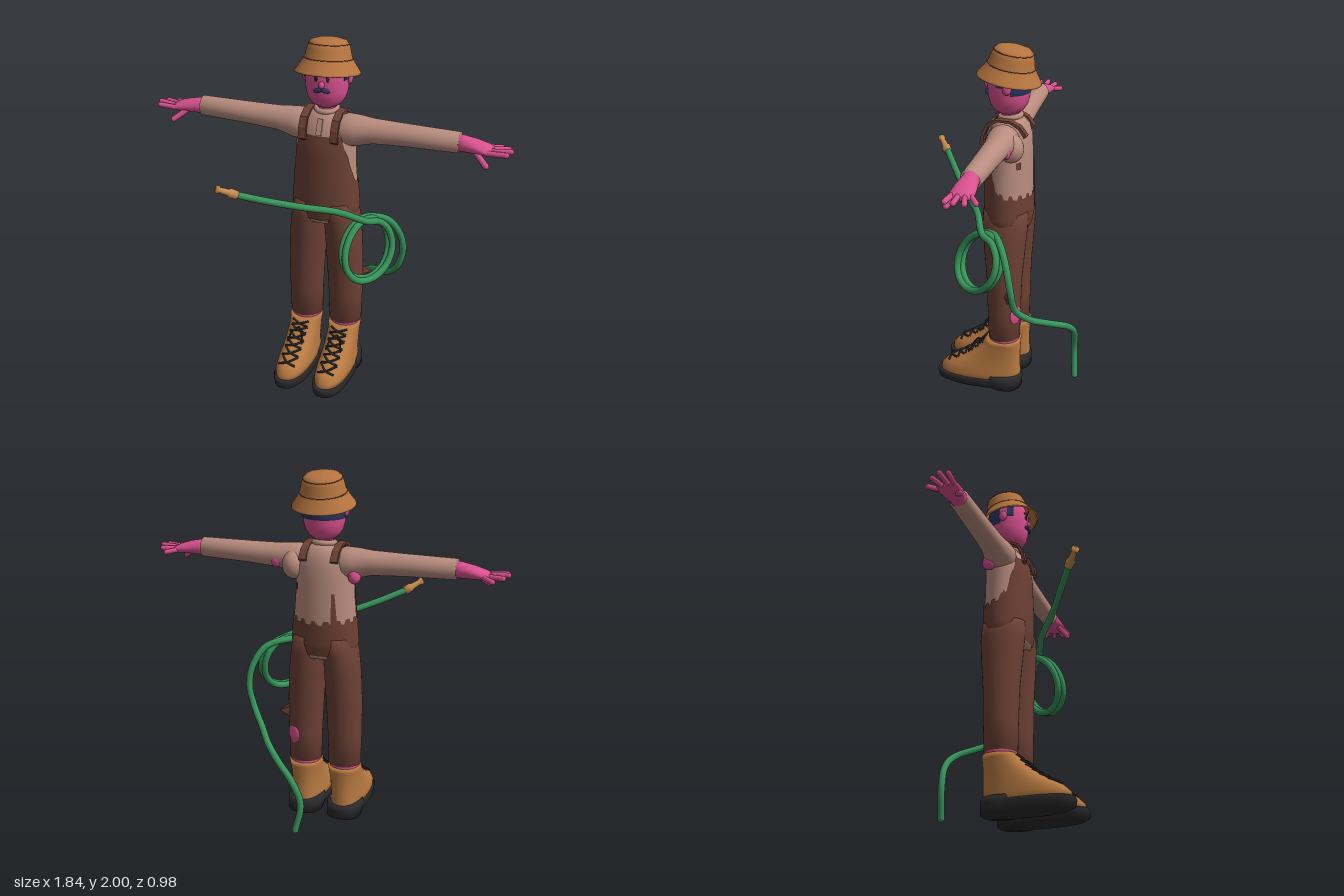
import * as THREE from 'three';

const mat = (name, color, side = THREE.FrontSide) => {
  const m = new THREE.MeshStandardMaterial({ color, side });
  m.name = name;
  return m;
};
const M = {
  skin: mat('skin pink', 0xd8508f),
  shirt: mat('shirt beige', 0xb98c7e),
  denim: mat('overall brown', 0x6c4034, THREE.DoubleSide),
  leather: mat('boot tan', 0xb87a42),
  felt: mat('hat tan', 0xb5743f, THREE.DoubleSide),
  rubber: mat('sole black', 0x2a2a2c),
  hair: mat('hair navy', 0x2a3763, THREE.DoubleSide),
  hose: mat('hose green', 0x37935a),
  brass: mat('nozzle brass', 0xc58b4e),
};

const V = (x, y, z) => new THREE.Vector3(x, y, z);
const add = (parent, name, geo, material, x = 0, y = 0, z = 0) => {
  const m = new THREE.Mesh(geo, material);
  m.name = name;
  m.position.set(x, y, z);
  parent.add(m);
  return m;
};
const ball = (parent, name, material, p, s) => {
  const m = add(parent, name, new THREE.SphereGeometry(1, 20, 14), material, ...p);
  m.scale.set(...s);
  return m;
};
const tube = (pts, r, n = 12, sides = 8) =>
  new THREE.TubeGeometry(new THREE.CatmullRomCurve3(pts), n, r, sides);

// Capsule joining two points
function limb(parent, name, a, b, r, material) {
  const d = b.clone().sub(a);
  const m = add(parent, name, new THREE.CapsuleGeometry(r, d.length(), 5, 10), material);
  m.position.copy(a).addScaledVector(d, 0.5);
  m.quaternion.setFromUnitVectors(V(0, 1, 0), d.normalize());
}

// Closed body through stacked ovals [y, cx, cz, rx, rz]; pow < 1 squares the ovals
function loft(sections, pow = 1, n = 36) {
  const pos = [], idx = [];
  const p = (v) => Math.sign(v) * Math.abs(v) ** pow;
  for (const [y, cx, cz, rx, rz] of sections)
    for (let j = 0; j < n; j++) {
      const t = (j / n) * Math.PI * 2;
      pos.push(cx + rx * p(Math.sin(t)), y, cz + rz * p(Math.cos(t)));
    }
  const last = sections.length - 1, c = sections.length * n;
  for (const s of [sections[0], sections[last]]) pos.push(s[1], s[0], s[2]);
  for (let j = 0; j < n; j++) {
    const k = (j + 1) % n;
    for (let i = 0; i < last; i++) {
      const a = i * n + j, b = i * n + k;
      idx.push(a, b, b + n, a, b + n, a + n);
    }
    idx.push(c, k, j, c + 1, last * n + j, last * n + k);
  }
  const g = new THREE.BufferGeometry();
  g.setAttribute('position', new THREE.Float32BufferAttribute(pos, 3));
  g.setIndex(idx);
  g.computeVertexNormals();
  return g;
}

// Linear lookup in a table whose rows start with the key
function lerpRow(rows, key) {
  let i = 0;
  while (i < rows.length - 2 && key > rows[i + 1][0]) i++;
  const a = rows[i], b = rows[i + 1];
  const t = THREE.MathUtils.clamp((key - a[0]) / (b[0] - a[0]), 0, 1);
  return a.map((v, k) => v + (b[k] - v) * t);
}

const TORSO = [[0.98, 0, 0, 0.17, 0.115], [1.06, 0, 0, 0.188, 0.13], [1.2, 0, 0, 0.178, 0.132], [1.32, 0, 0, 0.168, 0.13],
  [1.42, 0, 0, 0.166, 0.128], [1.5, 0, -0.005, 0.165, 0.12], [1.56, 0, -0.01, 0.14, 0.1], [1.59, 0, -0.012, 0.1, 0.08], [1.615, 0, -0.012, 0.06, 0.06]];

// Cloth layer just outside the torso, between angles f0..f1 and heights lo..hi(angle)
function cloth(f0, f1, lo, hi, cols, rows) {
  const g = new THREE.PlaneGeometry(1, 1, cols, rows), P = g.attributes.position;
  for (let i = 0; i < P.count; i++) {
    const f = f0 + (f1 - f0) * (P.getX(i) + 0.5);
    const y = lo + (hi(f) - lo) * (P.getY(i) + 0.5);
    const [, , cz, rx, rz] = lerpRow(TORSO, y);
    P.setXYZ(i, (rx + 0.006) * Math.sin(f), y, cz + (rz + 0.006) * Math.cos(f));
  }
  g.computeVertexNormals();
  return g;
}
const BIB = [[0, 1.5], [0.76, 1.5], [0.86, 1.44], [1.05, 1.38], [1.2, 1.28], [1.35, 1.25], [1.6, 1.21], [3.2, 1.19]];
const bibTop = (f) => {
  if (f > -2.72 && f < -2.52) return 1.36;
  const a = Math.abs(f);
  return lerpRow(BIB, a)[1] + (a > 1.1 ? 0.012 * Math.sign(Math.sin(f * 17)) : 0);
};

function buildTorso(body) {
  add(body, 'shirt', loft(TORSO, 1, 48), M.shirt);
  add(body, 'overallBib', cloth(-Math.PI, Math.PI, 1.0, bibTop, 120, 16), M.denim);
  add(body, 'tornPatch', cloth(2.15, 2.35, 1.36, () => 1.4, 4, 2), M.denim);
  const collar = add(body, 'collar', new THREE.TorusGeometry(0.055, 0.016, 10, 28), M.shirt, 0, 1.617, -0.008);
  collar.rotation.x = Math.PI / 2 + 0.12;
  add(body, 'placket', new THREE.BoxGeometry(0.03, 0.09, 0.008), M.shirt, 0, 1.545, 0.105).rotation.x = -0.35;
  // Straps over the shoulders, as [z, y]
  const path = [[0.137, 1.48], [0.127, 1.54], [0.1, 1.592], [0.045, 1.62], [-0.03, 1.618], [-0.085, 1.59], [-0.122, 1.54]];
  const inner = path.map(([z, y]) => [z * 0.88, y - 0.012]).reverse();
  const strap = new THREE.Shape([...path, ...inner].map(([z, y]) => new THREE.Vector2(-z, y)));
  for (const s of [-1, 1]) {
    const geo = new THREE.ExtrudeGeometry(strap, { depth: 0.042, bevelEnabled: false }).translate(0, 0, -0.021).rotateY(Math.PI / 2);
    geo.rotateY(Math.PI).scale(1, 1, -1);
    geo.rotateY(0);
    // Restore the corner order after the flip
    const P = geo.attributes.position;
    for (let i = 0; i < P.count; i++) P.setX(i, -P.getX(i));
    geo.computeVertexNormals();
    add(body, 'strap', geo, M.denim, s * 0.09);
    add(body, 'strapButton', new THREE.CylinderGeometry(0.014, 0.014, 0.008, 16).rotateX(Math.PI / 2), M.rubber, s * 0.085, 1.49, 0.128);
  }
}

function buildArm(body, s) {
  const along = (rows) => loft(rows.map(([x, y, rv, rz]) => [x, -s * y, 0, rv, rz]), 1, 28);
  const sleeve = add(body, 'sleeve', along([[0.06, 1.505, 0.07, 0.07], [0.12, 1.512, 0.09, 0.09], [0.18, 1.515, 0.085, 0.085], [0.27, 1.523, 0.068, 0.07], [0.45, 1.527, 0.061, 0.062], [0.735, 1.53, 0.056, 0.054]]), M.shirt);
  const hand = add(body, 'hand', along([[0.71, 1.53, 0.046, 0.044], [0.76, 1.528, 0.043, 0.047], [0.82, 1.522, 0.036, 0.057], [0.88, 1.513, 0.026, 0.062], [0.91, 1.508, 0.015, 0.05]]), M.skin);
  sleeve.rotation.z = hand.rotation.z = -s * Math.PI / 2;
  const fingers = [[0.985, 1.517, 0.05], [1.0, 1.52, 0.005], [0.98, 1.512, -0.042], [0.935, 1.5, -0.085]];
  fingers.forEach(([x, y, z], i) =>
    limb(body, 'finger', V(s * 0.88, 1.51, 0.044 - 0.03 * i), V(s * x, y, z), 0.0145, M.skin));
  limb(body, 'thumb', V(s * 0.82, 1.505, 0.03), V(s * 0.89, 1.452, 0.075), 0.016, M.skin);
}

function buildLeg(body, s) {
  const x = s * 0.12;
  add(body, 'trouserLeg', loft([[0.33, x, 0, 0.094, 0.09], [0.5, x, 0, 0.098, 0.094], [0.7, x * 0.96, 0, 0.104, 0.1], [0.88, x * 0.88, 0, 0.104, 0.116], [1.0, x * 0.8, 0, 0.1, 0.126], [1.1, x * 0.7, 0, 0.09, 0.125]]), M.denim);
  add(body, 'ankle', new THREE.CylinderGeometry(0.087, 0.087, 0.06, 28), M.skin, x, 0.32, 0);
  // Boot sections as [y, heel z, toe z, half width]
  const boot = new THREE.Group();
  boot.name = 'boot';
  boot.position.x = x;
  body.add(boot);
  const up = [[0.04, -0.095, 0.385, 0.095], [0.09, -0.095, 0.38, 0.096], [0.125, -0.094, 0.345, 0.093], [0.16, -0.093, 0.275, 0.09], [0.2, -0.092, 0.215, 0.088], [0.25, -0.093, 0.15, 0.088], [0.29, -0.096, 0.115, 0.091], [0.315, -0.097, 0.1, 0.093]];
  const ring = ([y, h, t, w]) => [y, 0, (h + t) / 2, w, (t - h) / 2];
  add(boot, 'bootUpper', loft(up.map(ring), 0.85), M.leather);
  add(boot, 'sole', loft([[0, -0.09, 0.37, 0.085], [0.015, -0.1, 0.4, 0.1], [0.05, -0.102, 0.405, 0.104], [0.062, -0.1, 0.4, 0.1]].map(ring), 0.85), M.rubber);
  add(boot, 'heel', loft([[0, -0.102, 0.1, 0.1], [0.05, -0.104, 0.14, 0.103], [0.085, -0.1, 0.12, 0.1]].map(ring), 0.85), M.rubber);
  // Crossed laces following the instep
  const on = (px, y) => {
    const [, , cz, w, rz] = ring(lerpRow(up, y));
    return V(px, y + 0.006, cz + rz * (1 - Math.abs(px / w) ** 2.35) ** 0.425 + 0.005);
  };
  for (let i = 0; i < 6; i++) {
    const y = 0.125 + i * 0.029;
    for (const k of [-1, 1]) {
      add(boot, 'lace', tube([on(-k * 0.05, y), on(0, y + 0.014), on(k * 0.05, y + 0.028)], 0.006, 8, 6), M.rubber);
    }
  }
  for (const k of [-1, 1])
    add(boot, 'laceBow', tube([on(0, 0.27), on(k * 0.03, 0.25).add(V(0, 0, 0.02)), on(k * 0.045, 0.2)], 0.005, 8, 6), M.rubber);
}

function buildHead(body) {
  const head = new THREE.Group();
  head.name = 'head';
  head.position.x = 0.005;
  head.rotation.y = 0.1;
  body.add(head);
  const oval = (rows) => loft(rows.map(([y, r]) => [y, 0, 0, r, r * 0.98]));
  add(head, 'neck', new THREE.CylinderGeometry(0.05, 0.054, 0.1, 24), M.skin, 0, 1.63, -0.008);
  add(head, 'skull', oval([[1.632, 0.03], [1.642, 0.06], [1.66, 0.084], [1.69, 0.103], [1.73, 0.114], [1.79, 0.118], [1.85, 0.117], [1.9, 0.1], [1.93, 0.06]]), M.skin);
  const profile = [[0.116, 1.755], [0.122, 1.765], [0.125, 1.8], [0.123, 1.85], [0.112, 1.89]].map((p) => new THREE.Vector2(...p));
  add(head, 'hair', new THREE.LatheGeometry(profile, 32, 1.75, 2 * Math.PI - 3.5), M.hair);
  const onFace = (name, geo, material, f, y, tilt = 0) => {
    const m = add(head, name, geo, material, 0.117 * Math.sin(f), y, 0.115 * Math.cos(f));
    m.rotation.set(0, f, tilt);
    return m;
  };
  for (const s of [-1, 1]) {
    ball(head, 'ear', M.skin, [s * 0.122, 1.795, -0.005], [0.016, 0.032, 0.024]);
    onFace('sideburn', new THREE.BoxGeometry(0.04, 0.075, 0.008), M.hair, s * 1.25, 1.835);
    onFace('eye', new THREE.CylinderGeometry(0.009, 0.009, 0.008, 16).rotateX(Math.PI / 2).scale(1, 1.7, 1), M.rubber, s * 0.27, 1.815);
    onFace('eyebrow', new THREE.BoxGeometry(0.036, 0.009, 0.009), M.hair, s * 0.29, 1.842, -s * 0.15);
    onFace('moustache', new THREE.SphereGeometry(1, 16, 10).scale(0.025, 0.012, 0.011), M.hair, s * 0.17, 1.754, -s * 0.3);
  }
  ball(head, 'nose', M.skin, [0, 1.785, 0.117], [0.016, 0.019, 0.017]);
  // Bucket hat, tipped back
  const hat = new THREE.Group();
  hat.name = 'hat';
  hat.position.set(0.003, 1.87, -0.008);
  hat.rotation.x = -0.17;
  head.add(hat);
  const shape = [[0.168, -0.052], [0.176, -0.05], [0.172, -0.042], [0.15, -0.01], [0.13, 0.022], [0.124, 0.035], [0.115, 0.075], [0.107, 0.1], [0.09, 0.117], [0.055, 0.127], [0, 0.13]];
  add(hat, 'hatShell', new THREE.LatheGeometry(shape.map((p) => new THREE.Vector2(...p)), 40), M.felt);
  for (const [r, y] of [[0.129, 0.024], [0.107, 0.1]])
    add(hat, 'hatSeam', new THREE.TorusGeometry(r, 0.0025, 6, 40).rotateX(Math.PI / 2), M.denim, 0, y, 0);
}

// Tears in the clothes
function buildTears(body) {
  ball(body, 'shoulderFlap', M.shirt, [0.165, 1.49, -0.05], [0.065, 0.08, 0.07]);
  ball(body, 'sleeveHoleLeft', M.skin, [0.265, 1.5, -0.052], [0.032, 0.035, 0.022]);
  ball(body, 'sleeveHoleRight', M.skin, [-0.185, 1.455, -0.05], [0.035, 0.045, 0.04]);
  const hole = ball(body, 'trouserHole', M.skin, [0.163, 0.49, -0.077], [0.046, 0.056, 0.014]);
  hole.rotation.y = Math.PI - 0.5;
  const flap = add(body, 'trouserFlap', new THREE.ConeGeometry(0.1, 0.12, 5).scale(1, 1, 0.55).rotateZ(-Math.PI / 2), M.denim, 0.2, 0.62, -0.045);
  flap.rotation.y = 0.4;
}

// Garden hose with two loose loops
function buildHose(root) {
  const hose = new THREE.Group();
  hose.name = 'gardenHose';
  root.add(hose);
  const pts = [V(-0.5, 1.257, 0.265), V(-0.35, 1.205, 0.245), V(-0.15, 1.145, 0.22), V(0.05, 1.085, 0.18)];
  for (let i = 0; i <= 24; i++) {
    const t = Math.PI / 2 - (i / 24) * Math.PI * 4, k = i / 24;
    pts.push(V(0.21 + (0.135 + 0.012 * Math.sin(k * 9)) * Math.cos(t), 0.862 + 0.16 * Math.sin(t), 0.23 - 0.06 * k - 0.08 * Math.cos(t) - 0.05 * Math.sin(t)));
  }
  pts.push(V(0.33, 0.99, 0.1), V(0.405, 0.89, 0.085), V(0.43, 0.77, 0.07), V(0.405, 0.65, 0.04), V(0.365, 0.56, -0.05), V(0.335, 0.505, -0.17), V(0.28, 0.44, -0.29), V(0.22, 0.36, -0.345), V(0.17, 0.22, -0.362), V(0.2, 0.06, -0.36));
  add(hose, 'hosePipe', tube(pts, 0.019, 320, 12), M.hose);
  ball(hose, 'hoseEnd', M.hose, [0.2, 0.06, -0.36], [0.019, 0.019, 0.019]);
  // Nozzle turned along its own axis
  const profile = [[0, 0], [0.024, 0], [0.026, 0.04], [0.019, 0.05], [0.015, 0.1], [0.021, 0.105], [0.021, 0.122], [0, 0.122]];
  const nozzle = add(hose, 'nozzle', new THREE.LatheGeometry(profile.map((p) => new THREE.Vector2(...p)), 20), M.brass, -0.49, 1.252, 0.263);
  nozzle.quaternion.setFromUnitVectors(V(0, 1, 0), V(-0.105, 0.052, 0.025).normalize());
}

export function createModel() {
  const root = new THREE.Group();
  root.name = 'gardener';
  const body = new THREE.Group();
  body.name = 'figure';
  body.position.z = -0.01;
  body.rotation.y = -0.447;
  root.add(body);
  buildTorso(body);
  for (const s of [-1, 1]) {
    buildArm(body, s);
    buildLeg(body, s);
  }
  buildHead(body);
  buildTears(body);
  buildHose(root);
  return root;
}
